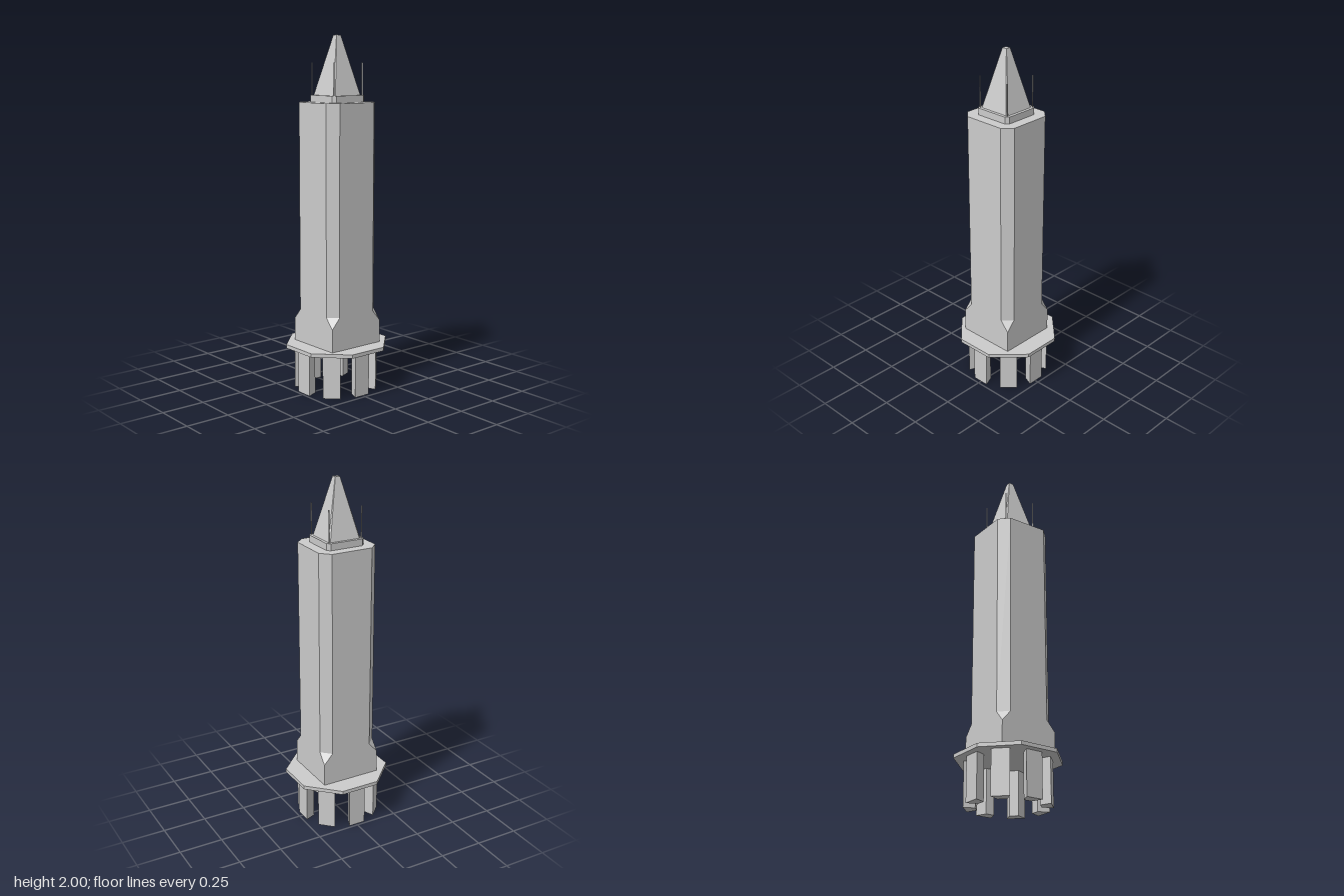
import * as THREE from 'three';

const material = new THREE.MeshStandardMaterial({ color: 0xcccccc, flatShading: true, side: THREE.DoubleSide });

// Rectangle with cut corners, counter-clockwise seen from above
function section([y, hx, hz, cut]) {
  const ix = hx - cut, iz = hz - cut;
  return [[hx, iz], [hx, -iz], [ix, -hz], [-ix, -hz], [-hx, -iz], [-hx, iz], [-ix, hz], [ix, hz]]
    .map(([x, z]) => new THREE.Vector3(x, y, z));
}

// Closed solid through a stack of [y, halfX, halfZ, cornerCut] sections
function loft(levels) {
  const rings = levels.map(section), points = [];
  const tri = (a, b, c) => {
    if (a.distanceTo(b) > 1e-6 && b.distanceTo(c) > 1e-6 && c.distanceTo(a) > 1e-6) points.push(a, b, c);
  };
  for (let k = 0; k < rings.length - 1; k++) {
    const low = rings[k], high = rings[k + 1];
    for (let i = 0; i < 8; i++) {
      const j = (i + 1) % 8;
      tri(low[i], low[j], high[j]);
      tri(low[i], high[j], high[i]);
    }
  }
  const bottom = rings[0], top = rings[rings.length - 1];
  for (let i = 1; i < 7; i++) {
    tri(top[0], top[i], top[i + 1]);
    tri(bottom[0], bottom[i + 1], bottom[i]);
  }
  const geometry = new THREE.BufferGeometry().setFromPoints(points);
  geometry.computeVertexNormals();
  return geometry;
}

function add(parent, name, geometry) {
  const mesh = new THREE.Mesh(geometry, material);
  mesh.name = name;
  parent.add(mesh);
  return mesh;
}

export function createModel() {
  const model = new THREE.Group();
  model.name = 'tower';

  // Ring of eight tapered legs, narrower on the inner side
  const legs = new THREE.Group();
  legs.name = 'legs';
  legs.position.set(-0.004, 0, 0.004);
  model.add(legs);
  const legShape = new THREE.Shape([[-0.05, -0.232], [0.05, -0.232], [0.025, -0.171], [-0.025, -0.171]]
    .map(([x, y]) => new THREE.Vector2(x, y)));
  const legGeometry = new THREE.ExtrudeGeometry(legShape, { depth: 0.252, bevelEnabled: false });
  legGeometry.rotateX(-Math.PI / 2);
  for (let i = 0; i < 8; i++) add(legs, 'leg', legGeometry).rotation.y = i * Math.PI / 4;

  // Octagonal platform
  add(model, 'platform', loft([[0.25, 0.275, 0.276, 0.162], [0.271, 0.275, 0.276, 0.162]]));

  const upper = new THREE.Group();
  upper.name = 'upperTower';
  upper.position.set(0.0065, 0, 0.0035);
  model.add(upper);

  // Square foot running into a shaft with chamfered corners
  add(upper, 'shaft', loft([
    [0.271, 0.1705, 0.1735, 0],
    [0.4, 0.1705, 0.1735, 0],
    [0.46, 0.1705, 0.1735, 0.052],
    [1.635, 0.1705, 0.1735, 0.052],
  ]));

  // Low step beneath the spire
  add(upper, 'step', loft([[1.635, 0.1115, 0.1135, 0.017], [1.673, 0.1115, 0.1135, 0.017]]));

  // Truncated pyramid spire
  add(upper, 'spire', loft([[1.673, 0.0935, 0.0965, 0.008], [2, 0.0145, 0.015, 0.001]]));

  // Thin rods on the four corners of the step
  const rodGeometry = new THREE.CylinderGeometry(0.004, 0.004, 0.177, 3);
  for (const sx of [-1, 1]) {
    for (const sz of [-1, 1]) add(upper, 'rod', rodGeometry).position.set(sx * 0.097, 1.7615, sz * 0.099);
  }
  return model;
}
